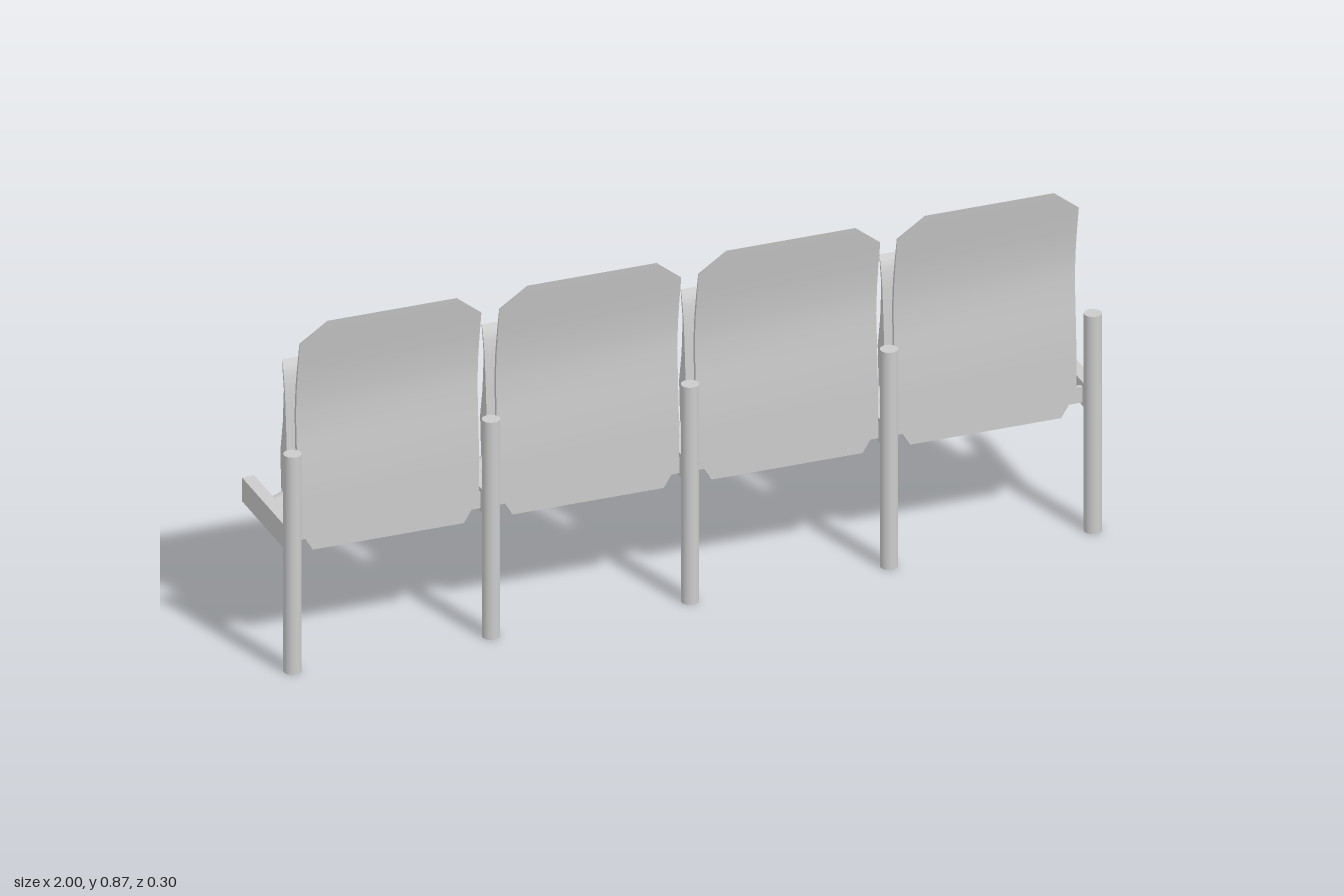
import * as THREE from 'three';

const material = new THREE.MeshStandardMaterial({ color: 0xcccccc });

function add(parent, name, geometry, x = 0, y = 0, z = 0) {
  const mesh = new THREE.Mesh(geometry, material);
  mesh.name = name;
  mesh.position.set(x, y, z);
  parent.add(mesh);
  return mesh;
}

// Curved shell: each row is [front y, front z, back y, back z, half width], bottom to top
function panel(rows) {
  const n = rows.length - 1;
  const geometry = new THREE.BoxGeometry(2, n, 2, 1, n, 1);
  const pos = geometry.attributes.position;
  for (let i = 0; i < pos.count; i++) {
    const [yf, zf, yb, zb, w] = rows[Math.round(pos.getY(i) + n / 2)];
    const front = pos.getZ(i) > 0;
    pos.setXYZ(i, pos.getX(i) * w, front ? yf : yb, front ? zf : zb);
  }
  geometry.computeVertexNormals();
  return geometry;
}

const backrestRows = [
  [0.285, 0.102, 0.285, 0.085, 0.185],
  [0.345, 0.102, 0.345, 0.088, 0.222],
  [0.40, 0.102, 0.40, 0.092, 0.222],
  [0.46, 0.102, 0.46, 0.093, 0.222],
  [0.55, 0.097, 0.55, 0.087, 0.222],
  [0.63, 0.092, 0.63, 0.083, 0.222],
  [0.70, 0.097, 0.70, 0.089, 0.222],
  [0.76, 0.106, 0.76, 0.100, 0.222],
  [0.82, 0.117, 0.82, 0.113, 0.222],
  [0.873, 0.126, 0.872, 0.124, 0.158],
];

// Tipped-up seat with its front lip curling over at the top
const seatRows = [
  [0.288, -0.007, 0.285, -0.050, 0.20],
  [0.37, -0.013, 0.37, -0.055, 0.20],
  [0.43, -0.017, 0.43, -0.059, 0.20],
  [0.47, -0.020, 0.465, -0.061, 0.20],
  [0.54, -0.025, 0.54, -0.046, 0.20],
  [0.59, -0.029, 0.59, -0.042, 0.20],
  [0.63, -0.033, 0.63, -0.039, 0.20],
  [0.662, -0.039, 0.658, -0.044, 0.20],
  [0.68, -0.046, 0.676, -0.050, 0.199],
  [0.689, -0.055, 0.685, -0.057, 0.197],
  [0.692, -0.067, 0.688, -0.067, 0.194],
];

export function createModel() {
  const model = new THREE.Group();
  model.name = 'seatRow';

  // Posts, each with a horizontal arm reaching to the rear
  const postX = [-0.98, -0.494, -0.007, 0.48, 0.979];
  const postGeometry = new THREE.CylinderGeometry(0.021, 0.021, 0.552, 20);
  const armGeometry = new THREE.BoxGeometry(0.03, 0.06, 0.275);
  for (const x of postX) {
    const support = new THREE.Group();
    support.name = 'support';
    support.position.x = x;
    add(support, 'post', postGeometry, 0, 0.276, 0.128);
    add(support, 'arm', armGeometry, 0, 0.337, -0.0095);
    model.add(support);
  }

  // Chairs hung between neighbouring posts
  const backrestGeometry = panel(backrestRows);
  const seatGeometry = panel(seatRows);
  const pivotGeometry = new THREE.CylinderGeometry(0.022, 0.034, 0.034, 16).rotateZ(-Math.PI / 2);
  const bracketGeometry = new THREE.BoxGeometry(0.06, 0.04, 0.01);
  [-0.735, -0.246, 0.241, 0.727].forEach((x, i) => {
    const chair = new THREE.Group();
    chair.name = 'chair';
    chair.position.x = x;
    add(chair, 'backrest', backrestGeometry);
    add(chair, 'seat', seatGeometry);
    for (const side of [-1, 1]) {
      const post = postX[side < 0 ? i : i + 1] - x;
      const pivot = add(chair, 'seatPivot', pivotGeometry, post - side * 0.031, 0.337, -0.036);
      if (side < 0) pivot.rotation.y = Math.PI;
      add(chair, 'backrestBracket', bracketGeometry, post - side * 0.04, 0.335, 0.096);
    }
    model.add(chair);
  });

  return model;
}
